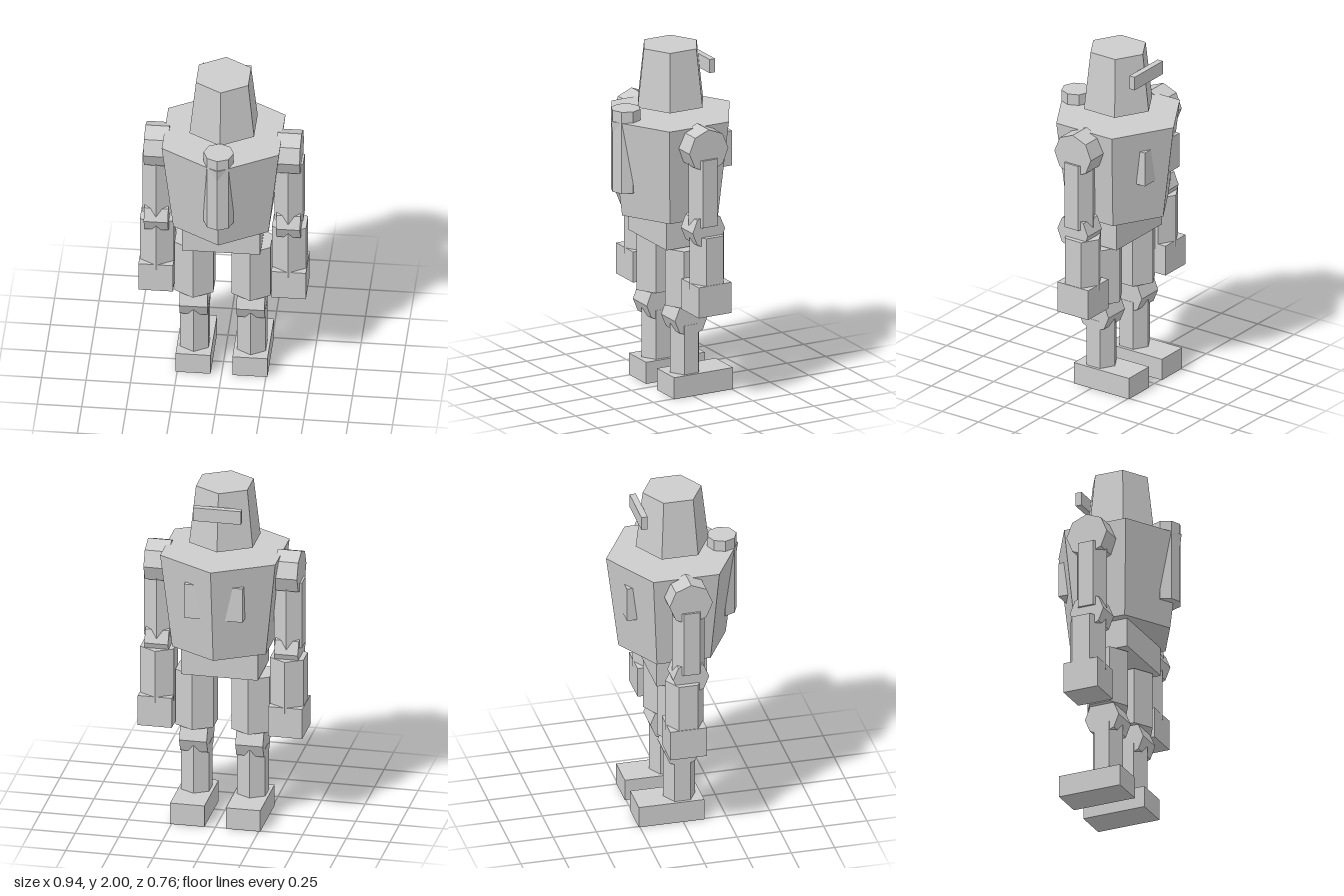
import * as THREE from 'three';

export function createModel() {
  const root = new THREE.Group();
  root.name = 'robot';
  const grey = new THREE.MeshStandardMaterial({ color: 0xcccccc, flatShading: true });
  grey.name = 'plain grey';

  const add = (name, geometry, x, y, z) => {
    const mesh = new THREE.Mesh(geometry, grey);
    mesh.name = name;
    mesh.position.set(x, y, z);
    root.add(mesh);
    return mesh;
  };
  // Box given by its lowest and highest corners
  const box = (name, [x0, y0, z0], [x1, y1, z1]) =>
    add(name, new THREE.BoxGeometry(x1 - x0, y1 - y0, z1 - z0),
      (x0 + x1) / 2, (y0 + y1) / 2, (z0 + z1) / 2);
  // Upright prism or frustum with a corner facing +z
  const prism = (name, sides, rTop, rBottom, y0, y1, x = 0, z = 0) =>
    add(name, new THREE.CylinderGeometry(rTop, rBottom, y1 - y0, sides), x, (y0 + y1) / 2, z);
  // Octagonal joint lying along x
  const joint = (name, r, width, x, y) =>
    add(name, new THREE.CylinderGeometry(r, r, width, 8).rotateZ(Math.PI / 2), x, y, 0);

  // Head with rear bar, floating just above the torso
  prism('head', 6, 0.17, 0.21, 1.66, 2);
  box('rearHeadBar', [-0.137, 1.84, -0.211], [0.137, 1.92, -0.175]);

  // Torso, chest column, back vents (one block emerging through both rear faces), pelvis
  prism('torso', 6, 0.381, 0.31, 1.04, 1.605);
  prism('chestColumn', 8, 0.085, 0.085, 1.19, 1.67, 0, 0.287);
  box('backVents', [-0.168, 1.285, -0.303], [0.168, 1.49, -0.2]);
  box('pelvis', [-0.22, 0.87, -0.145], [0.22, 1.042, 0.148]);

  for (const [side, s] of [['left', 1], ['right', -1]]) {
    // Arm
    const ax = s * 0.372;
    joint(side + 'Shoulder', 0.125, 0.136, ax, 1.495);
    prism(side + 'UpperArm', 6, 0.093, 0.093, 1.05, 1.445, ax);
    joint(side + 'Elbow', 0.104, 0.136, ax, 1.023);
    prism(side + 'Forearm', 6, 0.111, 0.111, 0.675, 0.99, ax, -0.023);
    add(side + 'Hand', new THREE.BoxGeometry(0.195, 0.18, 0.212), s * 0.374, 0.62, -0.023);

    // Leg
    const lx = s * 0.161;
    prism(side + 'Thigh', 6, 0.126, 0.126, 0.527, 0.862, lx);
    joint(side + 'Knee', 0.105, 0.158, lx, 0.45);
    prism(side + 'Shin', 6, 0.093, 0.093, 0.12, 0.415, lx);
    add(side + 'Foot', new THREE.BoxGeometry(0.197, 0.127, 0.378), s * 0.16, 0.0635, -0.068);
  }
  return root;
}
